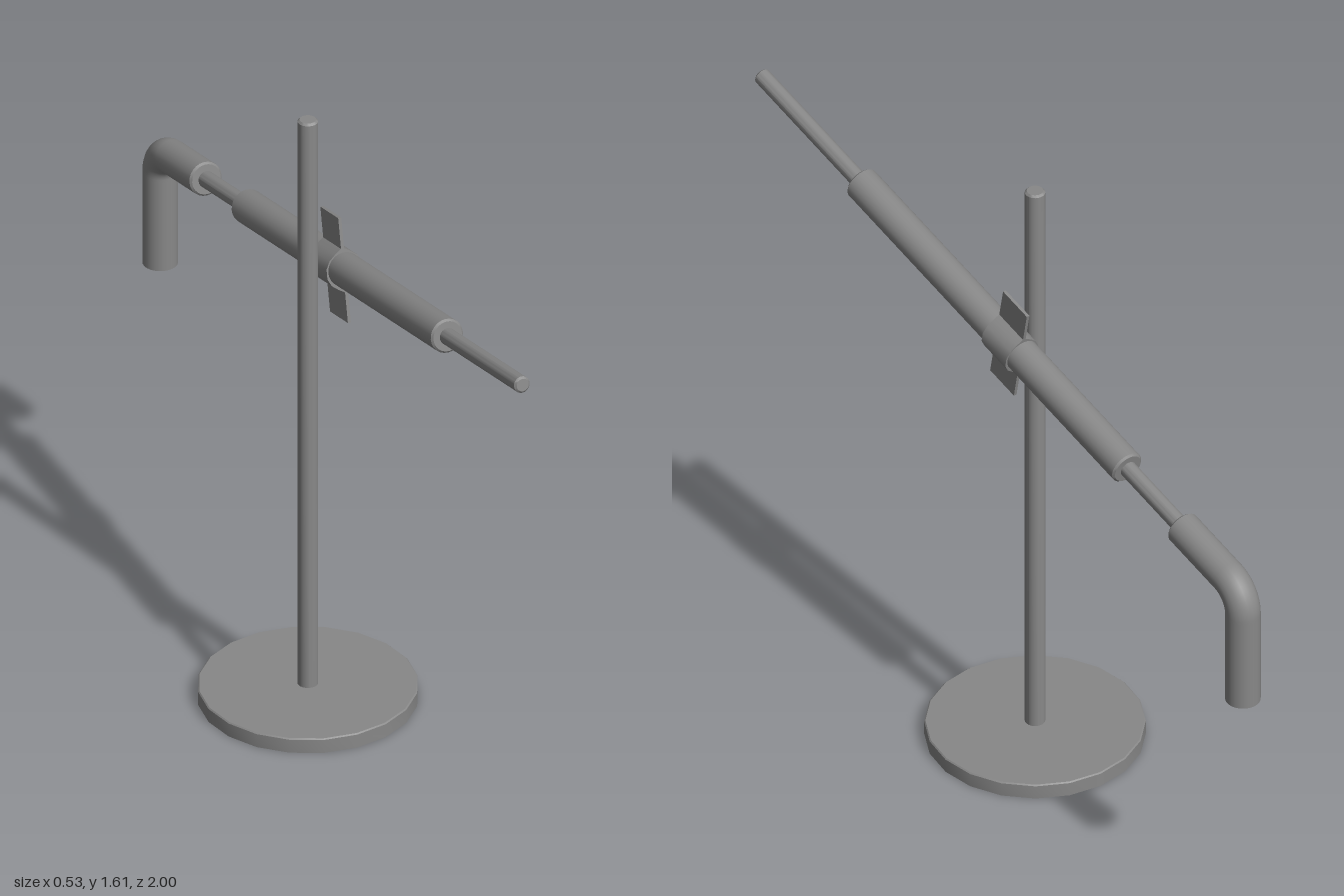
import * as THREE from 'three';
import { toCreasedNormals } from 'three/addons/utils/BufferGeometryUtils.js';

const material = new THREE.MeshStandardMaterial({ color: 0x888888, side: THREE.DoubleSide });

function addMesh(parent, name, geometry) {
  const mesh = new THREE.Mesh(geometry, material);
  mesh.name = name;
  parent.add(mesh);
  return mesh;
}

// Solid of revolution around y with sharp edges kept
function turned(profile, sides) {
  const points = profile.map(([r, y]) => new THREE.Vector2(r, y));
  return toCreasedNormals(new THREE.LatheGeometry(points, sides), 0.6);
}

// Closed bar from y = a to y = b with slightly chamfered ends
function bar(r, a, b, sides = 20, c = 0.005) {
  return turned([[0, a], [r - c, a], [r, a + c], [r, b - c], [r - c, b], [0, b]], sides);
}

// Clamp cross-section: two flat tabs that swell into a ring around the barrel
function clampGeometry(length) {
  const quarter = [[0.004, 0.135], [0.004, 0.056], [0.02, 0.046], [0.037, 0.032], [0.047, 0.013]];
  const right = [...quarter, ...quarter.map(([x, y]) => [x, -y]).reverse()];
  const left = right.map(([x, y]) => [-x, y]).reverse();
  const shape = new THREE.Shape([...right, ...left].map(([x, y]) => new THREE.Vector2(x, y)));
  const geometry = new THREE.ExtrudeGeometry(shape, { depth: length, bevelEnabled: false });
  return toCreasedNormals(geometry.rotateX(-Math.PI / 2), 0.7);
}

export function createModel() {
  const model = new THREE.Group();
  model.name = 'clampStand';

  // Hollow base, open below, with the tubular pole set into its top
  const stand = new THREE.Group();
  stand.name = 'stand';
  stand.position.z = -0.015;
  model.add(stand);
  addMesh(stand, 'base', turned(
    [[0.266, 0], [0.266, 0.036], [0.263, 0.039], [0.024, 0.039]], 20));
  addMesh(stand, 'pole', turned(
    [[0.025, 0.039], [0.025, 1.608], [0.02, 1.613], [0, 1.613]], 20));

  // Sloping arm: local y runs along the arm towards the front
  const slope = 0.195, armX = 0.073, armY = 1.195;
  const arm = new THREE.Group();
  arm.name = 'arm';
  arm.position.set(armX, armY, 0);
  arm.rotation.x = Math.PI / 2 - slope;
  model.add(arm);
  addMesh(arm, 'rod', bar(0.021, -0.76, 1.015));
  addMesh(arm, 'barrel', bar(0.043, -0.5, 0.603, 24));
  const clamp = addMesh(arm, 'clamp', clampGeometry(0.098));
  clamp.position.set(0, -0.062, 0.003);

  // Chamfered end of the elbow, where the rod enters
  const start = -0.722;
  addMesh(arm, 'elbowEnd', turned([[0.043, start - 0.005], [0.038, start], [0, start]], 24));

  // Bent pipe that follows the arm, then drops straight down with an open mouth
  const along = (s) => new THREE.Vector3(armX, armY + s * Math.sin(slope), s * Math.cos(slope));
  const cornerS = -0.957 / Math.cos(slope);
  const corner = along(cornerS);
  const down = (d) => corner.clone().add(new THREE.Vector3(0, -d, 0));
  const path = new THREE.CurvePath();
  path.add(new THREE.LineCurve3(along(start - 0.005), along(cornerS + 0.062)));
  path.add(new THREE.CubicBezierCurve3(
    along(cornerS + 0.062), along(cornerS + 0.026), down(0.026), down(0.062)));
  path.add(new THREE.LineCurve3(down(0.062), new THREE.Vector3(armX, 0.691, corner.z)));
  addMesh(model, 'elbowPipe', new THREE.TubeGeometry(path, 64, 0.043, 24));

  return model;
}
